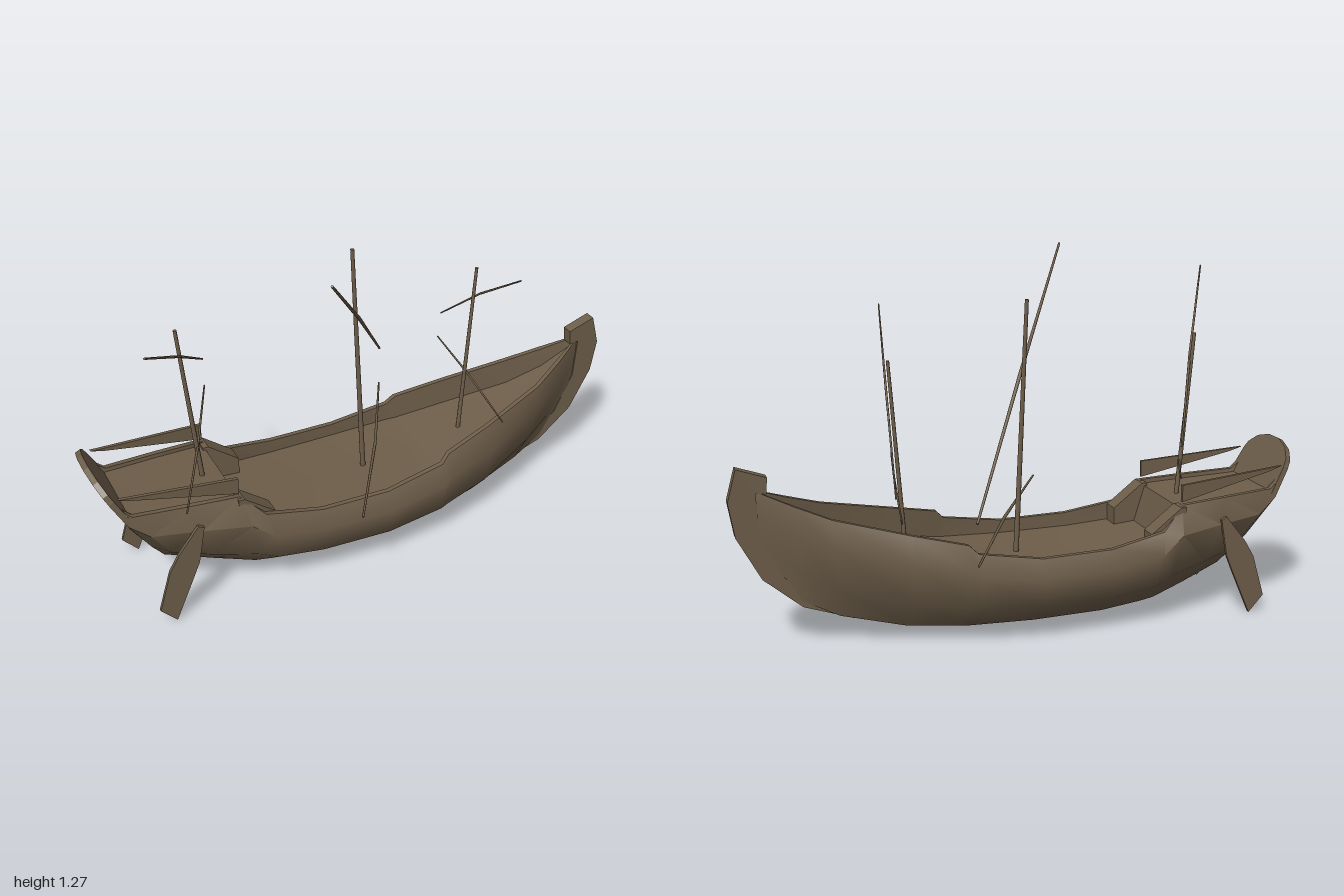
import * as THREE from 'three';
import { toCreasedNormals } from 'three/addons/utils/BufferGeometryUtils.js';

const wood = new THREE.MeshStandardMaterial({ color: 0x6e5e4a, side: THREE.DoubleSide });
wood.name = 'weathered wood';
const MID = -0.037; // z of the ship's centre line

function add(parent, name, geometry) {
  const mesh = new THREE.Mesh(geometry, wood);
  mesh.name = name;
  parent.add(mesh);
  return mesh;
}

// Flat outline in x and y, given thickness about z
function plate(points, depth, z = 0) {
  const shape = new THREE.Shape(points.map(p => new THREE.Vector2(p[0], p[1])));
  const g = new THREE.ExtrudeGeometry(shape, { depth, bevelEnabled: false });
  return g.translate(0, 0, z - depth / 2);
}

// Tapered round pole between two points
function pole(parent, name, a, b, ra, rb) {
  const from = new THREE.Vector3(...a), to = new THREE.Vector3(...b);
  const dir = to.clone().sub(from);
  const mesh = add(parent, name, new THREE.CylinderGeometry(rb, ra, dir.length(), 8));
  mesh.position.copy(from).add(to).multiplyScalar(0.5);
  mesh.quaternion.setFromUnitVectors(new THREE.Vector3(0, 1, 0), dir.normalize());
}

// Hull stations, stern to bow: keel x, rim x, deck x, keel y, rim y, deck y,
// then half widths at floor, bilge, widest line and rim
const stations = [
  [-0.76, -0.96, -0.91, 0.13, 0.50, 0.425, 0.02, 0.10, 0.162, 0.15],
  [-0.70, -0.89, -0.87, 0.11, 0.435, 0.42, 0.03, 0.12, 0.178, 0.158],
  [-0.60, -0.70, -0.70, 0.085, 0.425, 0.41, 0.06, 0.17, 0.207, 0.175],
  [-0.46, -0.53, -0.53, 0.06, 0.415, 0.40, 0.11, 0.215, 0.242, 0.187],
  [-0.40, -0.45, -0.49, 0.055, 0.335, 0.27, 0.12, 0.225, 0.252, 0.218],
  [-0.25, -0.25, -0.25, 0.047, 0.30, 0.25, 0.14, 0.24, 0.265, 0.237],
  [0, 0, 0, 0.045, 0.295, 0.248, 0.145, 0.25, 0.273, 0.24],
  [0.22, 0.22, 0.22, 0.047, 0.33, 0.26, 0.13, 0.23, 0.255, 0.226],
  [0.25, 0.25, 0.25, 0.047, 0.36, 0.265, 0.125, 0.225, 0.25, 0.216],
  [0.43, 0.43, 0.43, 0.055, 0.40, 0.30, 0.085, 0.18, 0.212, 0.18],
  [0.65, 0.68, 0.68, 0.10, 0.46, 0.36, 0.035, 0.095, 0.13, 0.115],
  [0.77, 0.80, 0.80, 0.16, 0.505, 0.43, 0.02, 0.05, 0.075, 0.065],
  [0.93, 0.91, 0.90, 0.32, 0.55, 0.52, 0.008, 0.01, 0.012, 0.012],
];

// One half section: up the outside, over the rim, down to the deck and in
function section([xk, xr, xd, yk, yr, yd, wf, wb, wm, wr]) {
  const at = (t, w) => [xk + (xr - xk) * t, yk + (yr - yk) * t, w];
  const inner = Math.max(wr - 0.018, 0.004);
  return [at(0, 0), at(0, wf), at(0.32, wb), at(0.74, wm), at(1, wr),
    [xr, yr, inner], [xd, yd, inner], [xd, yd, 0]];
}

function hullGeometry() {
  const pos = [], index = [], n = 8;
  for (const side of [1, -1]) {
    const base = pos.length / 3;
    for (const s of stations) for (const [x, y, z] of section(s)) pos.push(x, y, z * side);
    for (let i = 0; i < stations.length - 1; i++) {
      for (let j = 0; j < n - 1; j++) {
        const a = base + i * n + j, b = a + n, c = b + 1, d = a + 1;
        if (side > 0) index.push(a, b, c, a, c, d);
        else index.push(a, c, b, a, d, c);
      }
    }
  }
  const g = new THREE.BufferGeometry();
  g.setAttribute('position', new THREE.Float32BufferAttribute(pos, 3));
  g.setIndex(index);
  return toCreasedNormals(g, 0.8);
}

// Raked stern board with an arched top
function transomGeometry() {
  const half = [[0.02, 0], [0.10, 0.135], [0.162, 0.311], [0.15, 0.42], [0.14, 0.45], [0.10, 0.485], [0.035, 0.506]];
  const outline = [...half, ...half.map(([z, s]) => [-z, s]).reverse()];
  const g = plate(outline, 0.02, -0.01);
  const up = new THREE.Vector3(-0.24, 0.445, 0).normalize();
  const across = new THREE.Vector3(0, 0, 1);
  const out = new THREE.Vector3().crossVectors(across, up);
  // local -z points into the ship
  g.applyMatrix4(new THREE.Matrix4().makeBasis(across, up, out));
  return g.translate(-0.76, 0.13, 0);
}

export function createModel() {
  const ship = new THREE.Group();
  ship.name = 'sailing ship';
  const body = new THREE.Group();
  body.name = 'body';
  body.position.z = MID;
  ship.add(body);

  add(body, 'hull and deck', hullGeometry());
  add(body, 'transom', transomGeometry());

  // Keel sweeping up into the stem and its head
  add(body, 'keel and stem', plate([
    [-0.87, 0.28], [-0.79, 0.165], [-0.70, 0.11], [-0.45, 0.055], [0, 0.03], [0.35, 0.035],
    [0.60, 0.08], [0.77, 0.14], [0.90, 0.25], [0.98, 0.40], [1, 0.52], [0.97, 0.63],
    [0.87, 0.595], [0.875, 0.54], [0.91, 0.545], [0.90, 0.40], [0.83, 0.25], [0.70, 0.16],
    [0.55, 0.10], [0.30, 0.06], [0, 0.05], [-0.45, 0.075], [-0.68, 0.13], [-0.76, 0.18], [-0.84, 0.28],
  ], 0.04));

  for (const side of [1, -1]) {
    // Steering oars
    add(body, 'steering oar', plate([
      [-0.69, 0.365], [-0.67, 0.355], [-0.695, 0.22], [-0.72, 0.16],
      [-0.79, 0], [-0.845, 0.06], [-0.80, 0.21], [-0.765, 0.27],
    ], 0.012, side * 0.208));

    // Sloping steps at the quarterdeck break
    add(body, 'quarterdeck step', plate([
      [-0.54, 0.41], [-0.52, 0.41], [-0.41, 0.325], [-0.41, 0.25], [-0.54, 0.25],
    ], 0.065, side * 0.168));

    // Tapered quarterdeck rails, closing in toward the stern
    const rail = plate([[0, 0.515], [0.05, 0.50], [0.40, 0.425], [0.40, 0.485]], 0.012);
    const mesh = add(body, 'quarterdeck rail', rail);
    mesh.position.set(-0.93, 0, side * 0.15);
    mesh.rotation.y = -side * 0.065;
  }

  // Masts: foot, head, foot radius
  const masts = [
    ['main mast', [0.017, 0.24, MID], [-0.022, 1.13, MID], 0.010],
    ['mizzen mast', [-0.593, 0.39, MID], [-0.647, 0.985, MID], 0.009],
    ['fore mast', [0.412, 0.29, MID], [0.46, 0.95, MID], 0.008],
  ];
  for (const [name, foot, head, r] of masts) pole(ship, name, foot, head, r, r * 0.7);

  // Yards and booms: high end, middle, low end, middle radius
  const spars = [
    ['main yard', [-0.30, 1.27, 0.40], [-0.01, 0.88, -0.01], [0.268, 0.48, -0.40], 0.0065],
    ['mizzen yard', [-0.87, 1.17, 0.38], [-0.65, 0.91, 0], [-0.46, 0.66, -0.345], 0.005],
    ['fore yard', [0.403, 1.085, 0.325], [0.462, 0.86, -0.01], [0.523, 0.58, -0.38], 0.004],
    ['main boom', [-0.20, 0.39, 0.40], [0.045, 0.363, 0.005], [0.26, 0.333, -0.387], 0.0055],
    ['mizzen boom', [-0.75, 0.50, 0.26], [-0.60, 0.525, -0.04], [-0.46, 0.55, -0.345], 0.0045],
    ['fore boom', [0.372, 0.545, 0.32], [0.44, 0.523, -0.02], [0.50, 0.492, -0.36], 0.004],
  ];
  for (const [name, a, mid, b, r] of spars) {
    const spar = new THREE.Group();
    spar.name = name;
    ship.add(spar);
    pole(spar, name + ' upper half', mid, a, r, r * 0.65);
    pole(spar, name + ' lower half', mid, b, r, r * 0.65);
  }
  return ship;
}
